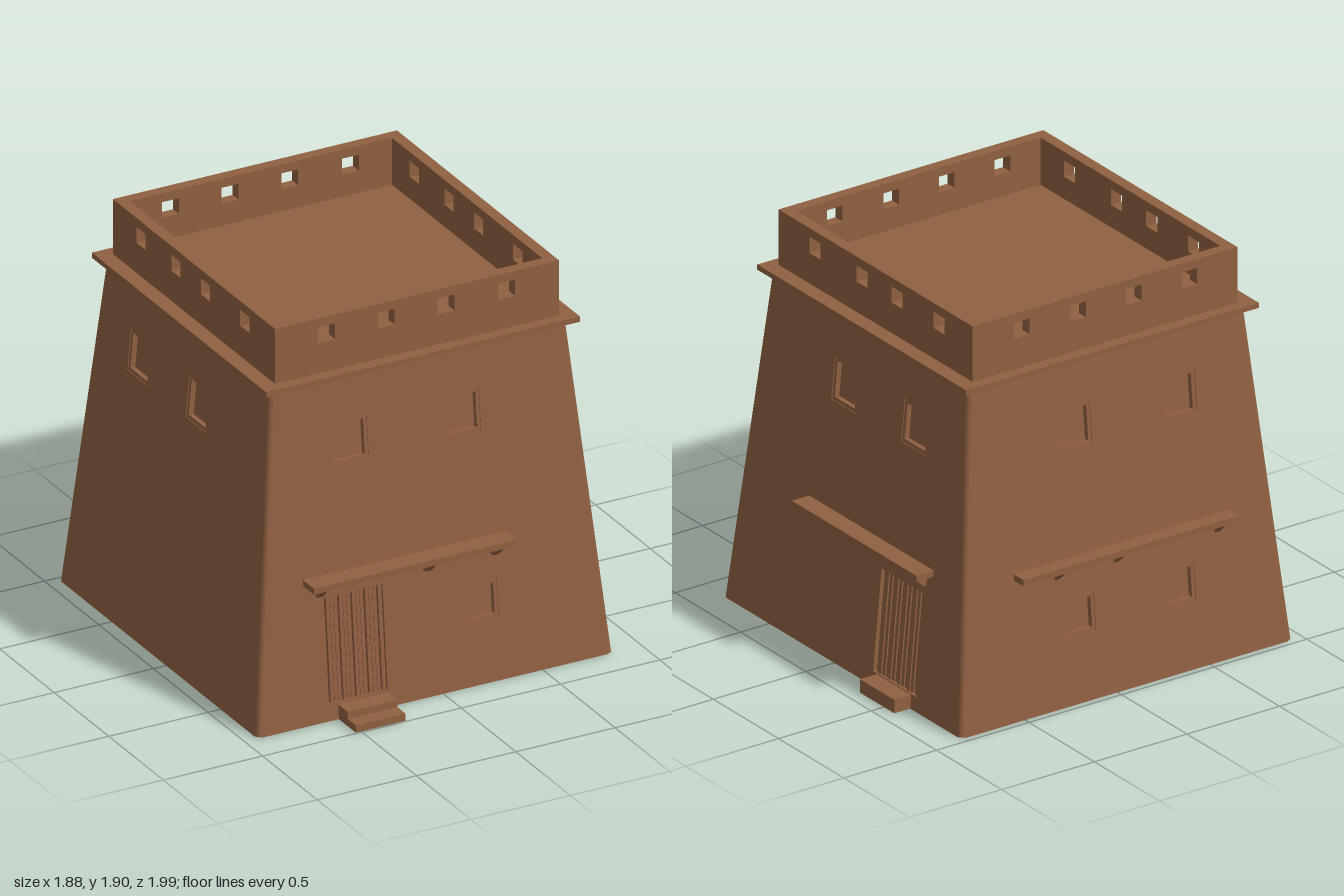
import * as THREE from 'three';

const clay = new THREE.MeshStandardMaterial({ color: 0x8f6041 });
clay.name = 'clay brown';

const H = 1.61, SKIN = 0.03, POST = 0.025; // wall height, wall skin thickness, corner radius
const BASE = { x: 0.895, z: 0.91 }, TOP = { x: 0.745, z: 0.757 }; // half widths
const PARAPET = { x: 0.715, z: 0.743 }, PT = 0.055;

function add(parent, name, geometry, x = 0, y = 0, z = 0) {
  const mesh = new THREE.Mesh(geometry, clay);
  mesh.name = name;
  mesh.position.set(x, y, z);
  parent.add(mesh);
  return mesh;
}

// box given by its limits
function block(parent, name, x0, x1, y0, y1, z0, z1) {
  return add(parent, name, new THREE.BoxGeometry(x1 - x0, y1 - y0, z1 - z0),
    (x0 + x1) / 2, (y0 + y1) / 2, (z0 + z1) / 2);
}

// flat slab with rectangular openings [centre u, centre v, width, height]
function slab(points, openings, depth) {
  const shape = new THREE.Shape(points.map(p => new THREE.Vector2(...p)));
  for (const [u, v, w, h] of openings) {
    const corners = [[-1, -1], [-1, 1], [1, 1], [1, -1]];
    shape.holes.push(new THREE.Path(corners.map(([a, b]) =>
      new THREE.Vector2(u + a * w / 2, v + b * h / 2))));
  }
  return new THREE.ExtrudeGeometry(shape, { depth, bevelEnabled: false }).translate(0, 0, -depth);
}

// vertical planks of uneven depth, set inside a doorway
function door(parent, [u, v, w, h]) {
  const group = new THREE.Group();
  group.name = 'door';
  const n = 14, step = w / n;
  for (let i = 0; i < n; i++) {
    const u0 = u - w / 2 + i * step;
    const out = -0.018 + 0.009 * ((i * 5) % 3) / 2;
    block(group, 'doorPlank', u0 + 0.002, u0 + step - 0.002, v - h / 2, v + h / 2, -SKIN, out);
  }
  parent.add(group);
}

// thin rim around a recessed window
function windowFrame(parent, [u, v, w, h]) {
  const a = w / 2, b = h / 2;
  const rim = slab([[-a, -b], [a, -b], [a, b], [-a, b]], [[0, 0, w - 0.035, h - 0.035]], 0.025);
  add(parent, 'windowFrame', rim, u, v, -0.004);
}

// shelf over the doorway, carried by wedge brackets
function canopy(parent, { from, to, out, brackets }) {
  block(parent, 'canopy', from, to, 0.66, 0.69, out - 0.13, out);
  const wedge = new THREE.Shape([[-0.12, 0], [-0.12, -0.06], [-0.07, -0.06], [-0.01, 0]]
    .map(p => new THREE.Vector2(...p)));
  for (const u of brackets) {
    const g = new THREE.ExtrudeGeometry(wedge, { depth: 0.03, bevelEnabled: false });
    g.translate(0, 0, -0.015).rotateY(-Math.PI / 2);
    add(parent, 'canopyBracket', g, u, 0.662, out);
  }
}

const sides = [
  {
    name: 'front', angle: 0, axis: 'z', cross: 'x',
    windows: [[-0.365, 1.295, 0.185, 0.205], [0.2, 1.295, 0.185, 0.205], [0.25, 0.39, 0.17, 0.18]],
    door: [-0.388, 0.333, 0.305, 0.505],
    canopy: { from: -0.63, to: 0.39, out: 0.945, brackets: [-0.56, -0.015, 0.325] },
    steps: [[-0.485, -0.235, 0.035, 1.065], [-0.485, -0.235, 0.07, 0.99]],
    loopholes: [-0.455, -0.155, 0.145, 0.45],
  },
  {
    name: 'right', angle: Math.PI / 2, axis: 'x', cross: 'z',
    windows: [[-0.145, 1.295, 0.19, 0.205], [0.39, 1.295, 0.19, 0.205]],
    door: [0.395, 0.315, 0.335, 0.49],
    canopy: { from: -0.345, to: 0.61, out: 0.925, brackets: [-0.285, 0.035, 0.55] },
    steps: [[0.255, 0.52, 0.065, 0.98]],
    loopholes: [-0.465, -0.105, 0.165, 0.485],
  },
  {
    name: 'back', angle: Math.PI, axis: 'z', cross: 'x',
    windows: [[0.365, 1.295, 0.185, 0.205], [-0.2, 1.295, 0.185, 0.205],
      [-0.23, 0.41, 0.17, 0.18], [0.31, 0.41, 0.17, 0.18]],
    canopy: { from: -0.565, to: 0.595, out: 0.92, brackets: [-0.335, -0.015, 0.53] },
    loopholes: [-0.45, -0.145, 0.155, 0.455],
  },
  {
    name: 'left', angle: -Math.PI / 2, axis: 'x', cross: 'z',
    windows: [[0.145, 1.295, 0.19, 0.205], [-0.39, 1.295, 0.19, 0.205]],
    loopholes: [-0.485, -0.165, 0.105, 0.465],
  },
];

function buildSide(side) {
  const group = new THREE.Group();
  group.name = side.name + 'Side';
  group.rotation.y = side.angle;
  const { axis, cross } = side;

  // leaning wall with recessed openings
  const lean = BASE[axis] - TOP[axis], length = Math.hypot(H, lean);
  const b = BASE[cross] - POST, t = TOP[cross] - POST;
  const openings = [...side.windows, ...(side.door ? [side.door] : [])];
  const wall = new THREE.Group();
  wall.name = side.name + 'Wall';
  wall.position.z = BASE[axis];
  wall.rotation.x = -Math.atan2(lean, H);
  add(wall, 'wallFace', slab([[-b, 0], [b, 0], [t, length], [-t, length]], openings, SKIN));
  side.windows.forEach(w => windowFrame(wall, w));
  if (side.door) door(wall, side.door);
  group.add(wall);

  if (side.canopy) canopy(group, side.canopy);
  for (const [u0, u1, height, out] of side.steps || []) {
    block(group, 'doorStep', u0, u1, 0, height, BASE[axis] - 0.04, out);
  }

  // parapet wall with square loopholes
  const half = PARAPET[cross] - (axis === 'x' ? PT : 0);
  const holes = side.loopholes.map(u => [u, 0.1875, 0.085, 0.078]);
  add(group, 'parapet', slab([[-half, 0], [half, 0], [half, 0.27], [-half, 0.27]], holes, PT),
    0, 1.63, PARAPET[axis]);
  return group;
}

export function createModel() {
  const model = new THREE.Group();
  model.name = 'adobeTower';
  const house = new THREE.Group();
  house.name = 'house';
  house.position.set(-0.045, 0, -0.066);
  model.add(house);

  // tapered core behind the wall faces
  const core = new THREE.BoxGeometry(2, H, 2).translate(0, H / 2, 0);
  const p = core.attributes.position;
  for (let i = 0; i < p.count; i++) {
    const from = p.getY(i) > 0.1 ? TOP : BASE;
    p.setX(i, p.getX(i) * (from.x - SKIN));
    p.setZ(i, p.getZ(i) * (from.z - SKIN));
  }
  core.computeVertexNormals();
  add(house, 'core', core);

  // rounded corners
  for (const sx of [-1, 1]) {
    for (const sz of [-1, 1]) {
      const foot = new THREE.Vector3(sx * (BASE.x - POST), 0, sz * (BASE.z - POST));
      const head = new THREE.Vector3(sx * (TOP.x - POST), H, sz * (TOP.z - POST));
      add(house, 'roundedCorner',
        new THREE.TubeGeometry(new THREE.LineCurve3(foot, head), 1, POST, 16));
    }
  }

  sides.forEach(side => house.add(buildSide(side)));

  // roof ledge and sunken terrace
  block(house, 'roofLedge', -0.79, 0.79, 1.605, 1.63, -0.8, 0.8);
  const fx = PARAPET.x - PT, fz = PARAPET.z - PT;
  block(house, 'roofFloor', -fx, fx, 1.63, 1.67, -fz, fz);
  return model;
}
